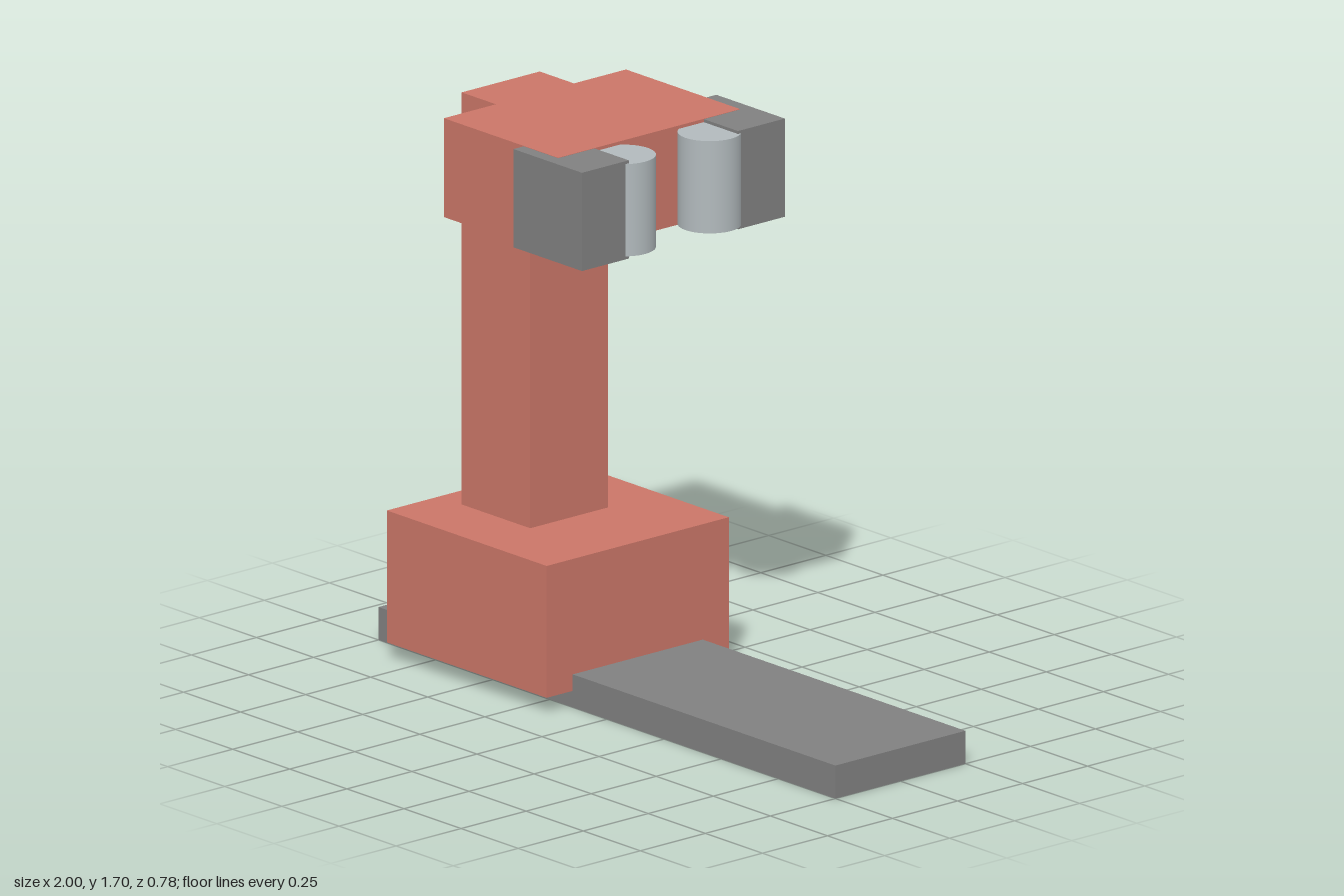
import * as THREE from 'three';

export function createModel() {
  const model = new THREE.Group();
  model.name = 'machine';

  const red = new THREE.MeshStandardMaterial({ color: 0xcb7668 });
  red.name = 'red paint';
  const grey = new THREE.MeshStandardMaterial({ color: 0x808080 });
  grey.name = 'dark grey';
  const steel = new THREE.MeshStandardMaterial({ color: 0xb2babd });
  steel.name = 'pale steel';

  // Box given by its extents along each axis
  function box(name, material, [x0, x1], [y0, y1], [z0, z1]) {
    const mesh = new THREE.Mesh(new THREE.BoxGeometry(x1 - x0, y1 - y0, z1 - z0), material);
    mesh.position.set((x0 + x1) / 2, (y0 + y1) / 2, (z0 + z1) / 2);
    mesh.name = name;
    model.add(mesh);
  }

  // Rail and the carriage straddling it
  box('rail', grey, [-1, 1], [0, 0.1], [-0.25, 0.25]);
  box('carriage', red, [-0.85, -0.15], [0.05, 0.45], [-0.35, 0.35]);

  // Upright column and overhanging head
  box('column', red, [-0.75, -0.45], [0.45, 1.7], [-0.15, 0.15]);
  box('head', red, [-0.6, -0.1], [1.4, 1.7], [-0.35, 0.35]);

  // Clamp block and roller on each side of the head
  for (const side of [1, -1]) {
    const label = side > 0 ? 'left' : 'right';
    const z = [0.21 * side, 0.39 * side].sort((a, b) => a - b);
    // Slightly shorter than the head so that their faces do not coincide
    box(label + 'ClampBlock', grey, [-0.25, 0.05], [1.401, 1.699], z);

    const roller = new THREE.Mesh(new THREE.CylinderGeometry(0.093, 0.093, 0.28, 32), steel);
    roller.position.set(-0.023, 1.55, 0.165 * side);
    roller.name = label + 'Roller';
    model.add(roller);
  }

  return model;
}
